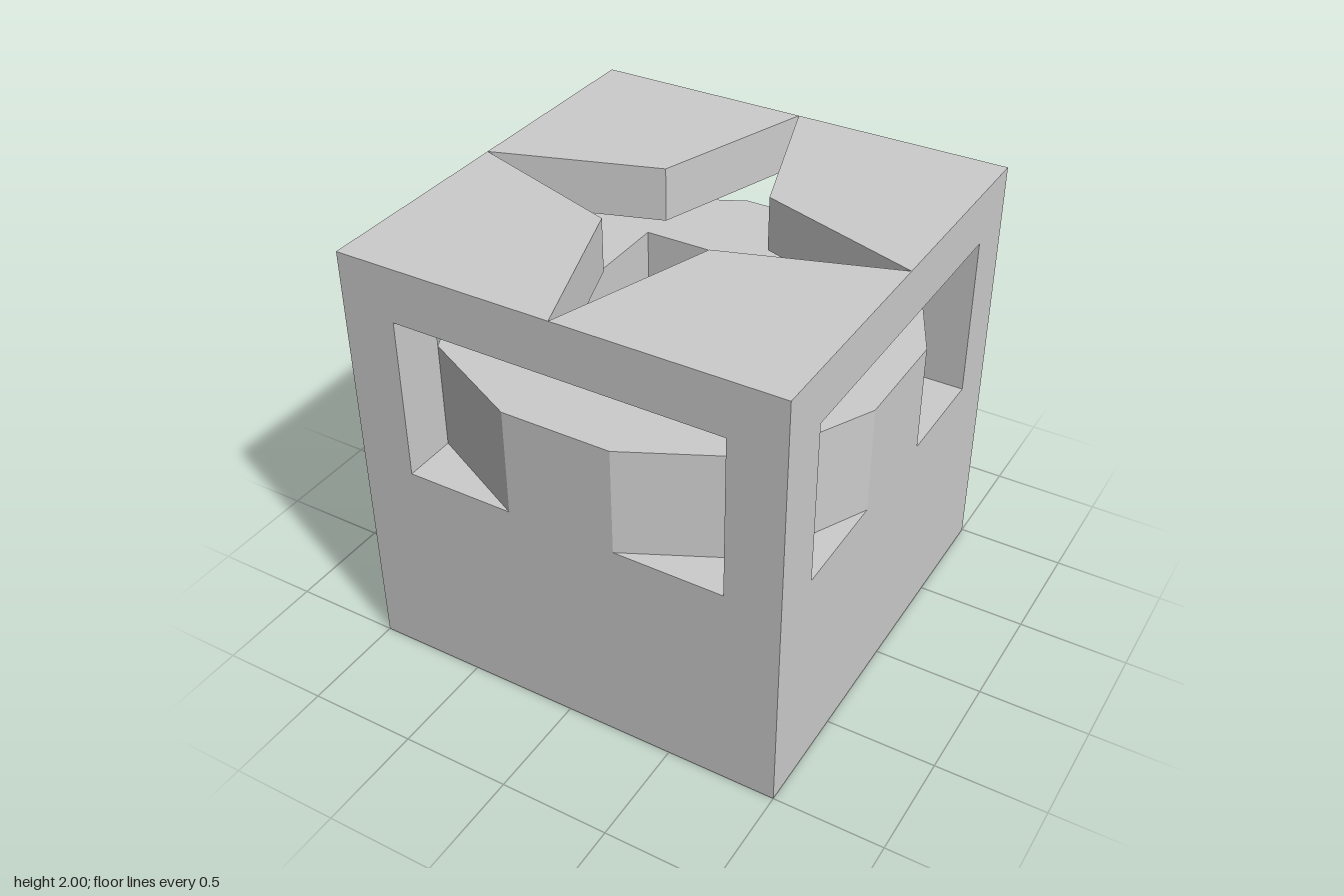
import * as THREE from 'three';

const material = new THREE.MeshStandardMaterial({ color: 0xcccccc, flatShading: true });

// Upright prism from a plan outline, standing on y = bottom
function prism(name, outline, bottom, height, hole) {
  const shape = new THREE.Shape(outline.map(([x, z]) => new THREE.Vector2(x, -z)));
  if (hole) shape.holes.push(new THREE.Path(hole.map(([x, z]) => new THREE.Vector2(x, -z))));
  const geometry = new THREE.ExtrudeGeometry(shape, { depth: height, bevelEnabled: false });
  geometry.rotateX(-Math.PI / 2);
  geometry.translate(0, bottom, 0);
  const mesh = new THREE.Mesh(geometry, material);
  mesh.name = name;
  return mesh;
}

const square = (r) => [[r, r], [r, -r], [-r, -r], [-r, r]];

export function createModel() {
  const model = new THREE.Group();
  model.name = 'openTopCube';

  // Solid lower half
  model.add(prism('base', square(1), 0, 1));

  // Faceted core, flush with the middle of each side, with a square basin
  const coreOutline = [
    [0.25, 1], [0.75, 0.75], [1, 0.25],
    [1, -0.25], [0.75, -0.75], [0.25, -1],
    [-0.25, -1], [-0.75, -0.75], [-1, -0.25],
    [-1, 0.25], [-0.75, 0.75], [-0.25, 1],
  ];
  model.add(prism('core', coreOutline, 1, 0.5, square(0.5)));

  // Four corners: a post carrying a roof quarter; the quarters leave a star opening
  const postOutline = [[0.75, 0.75], [1, 0.75], [1, 1], [0.75, 1]];
  const roofOutline = [[0.25, 0.25], [1, 0], [1, 1], [0, 1]];
  for (let i = 0; i < 4; i++) {
    const corner = new THREE.Group();
    corner.name = 'corner' + (i + 1);
    corner.add(prism('post', postOutline, 1, 0.75));
    corner.add(prism('roofQuarter', roofOutline, 1.75, 0.25));
    corner.rotation.y = (i * Math.PI) / 2;
    model.add(corner);
  }
  return model;
}
